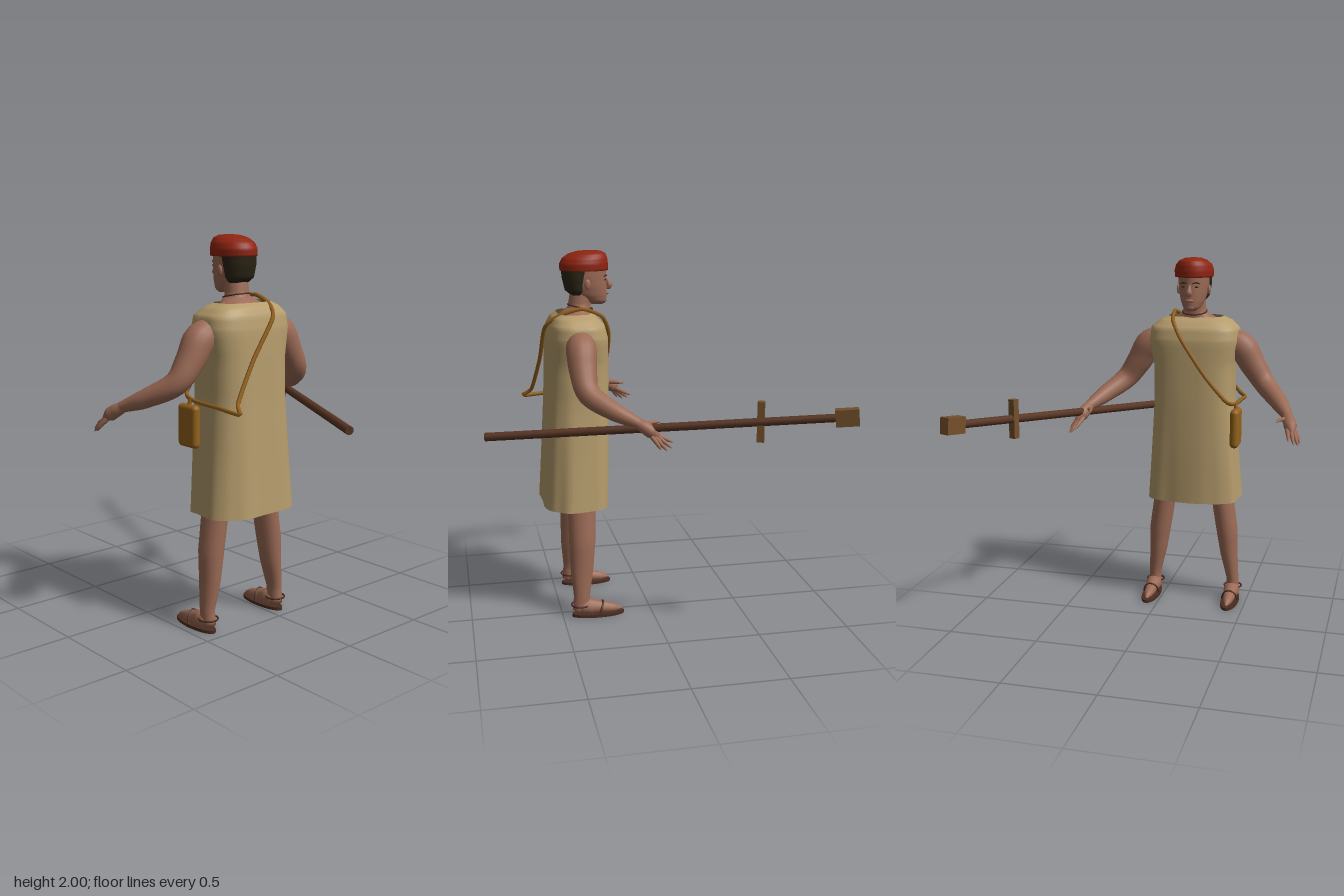
import * as THREE from 'three';
import { mergeVertices } from 'three/addons/utils/BufferGeometryUtils.js';
import { RoundedBoxGeometry } from 'three/addons/geometries/RoundedBoxGeometry.js';

const paint = (name, color, extra = {}) => {
  const m = new THREE.MeshStandardMaterial({ color, ...extra });
  m.name = name;
  return m;
};
const V = (p) => new THREE.Vector3(...p);

// Smoothly interpolated value from a list of numbers, t in 0..1
const sample = (list, t) => {
  const f = t * (list.length - 1), i = Math.min(Math.floor(f), list.length - 2);
  return THREE.MathUtils.lerp(list[i], list[i + 1], f - i);
};

// Tube of changing radius through points
function taperTube(points, radii, seg = 20, sides = 12) {
  const curve = new THREE.CatmullRomCurve3(points.map(V));
  const g = new THREE.TubeGeometry(curve, seg, 1, sides);
  const p = g.attributes.position, v = new THREE.Vector3();
  for (let i = 0; i <= seg; i++) {
    const c = curve.getPointAt(i / seg), r = sample(radii, i / seg);
    for (let j = 0; j <= sides; j++) {
      const k = i * (sides + 1) + j;
      v.fromBufferAttribute(p, k).sub(c).multiplyScalar(r).add(c);
      p.setXYZ(k, v.x, v.y, v.z);
    }
  }
  return smooth(g);
}

function smooth(g) {
  g.deleteAttribute('uv');
  g.deleteAttribute('normal');
  const m = mergeVertices(g, 1e-5);
  m.computeVertexNormals();
  return m;
}

// Stacked rings [y, x, z, rx, rz], from bottom to top; power > 2 gives boxier rings
function loft(rings, { power = 2, caps = true, sides = 28, steps = 4, warp = null } = {}) {
  const pos = [], idx = [];
  const cols = [0, 1, 2, 3, 4].map((k) => rings.map((r) => r[k]));
  const n = (rings.length - 1) * steps;
  const sgnPow = (a) => Math.sign(a) * Math.pow(Math.abs(a), 2 / power);
  for (let i = 0; i <= n; i++) {
    const [y, x, z, rx, rz] = cols.map((c) => sample(c, i / n));
    for (let j = 0; j < sides; j++) {
      const a = (j / sides) * Math.PI * 2;
      const k = warp ? warp(a, y) : 1;
      pos.push(x + rx * k * sgnPow(Math.cos(a)), y, z + rz * k * sgnPow(Math.sin(a)));
      if (i < n) {
        const b = i * sides + j, c = i * sides + ((j + 1) % sides);
        idx.push(b, b + sides, c, c, b + sides, c + sides);
      }
    }
  }
  if (caps) {
    for (let j = 1; j < sides - 1; j++) {
      idx.push(0, j, j + 1, n * sides, n * sides + j + 1, n * sides + j);
    }
  }
  const g = new THREE.BufferGeometry();
  g.setAttribute('position', new THREE.Float32BufferAttribute(pos, 3));
  g.setIndex(idx);
  g.computeVertexNormals();
  return g;
}

export function createModel() {
  const skin = paint('skin', 0x9b6a55);
  const cloth = paint('tunic cloth', 0xb59c6c, { side: THREE.DoubleSide });
  const red = paint('cap red', 0x8f2410);
  const hairMat = paint('dark hair', 0x2b2414);
  const leather = paint('tan leather', 0x93611c);
  const darkWood = paint('dark wood', 0x583524);
  const lightWood = paint('light wood', 0x74502c);
  const sandalMat = paint('sandal leather', 0x4a2c20);

  const model = new THREE.Group();
  const figure = new THREE.Group();
  figure.name = 'figure';
  figure.position.x = -0.175;
  model.add(figure);
  const add = (name, geo, mat, parent = figure) => {
    const m = new THREE.Mesh(geo, mat);
    m.name = name;
    parent.add(m);
    return m;
  };
  const ball = (name, mat, pos, scale) => {
    const m = add(name, new THREE.SphereGeometry(1, 14, 10), mat);
    m.position.set(...pos);
    m.scale.set(...scale);
    return m;
  };

  // Tunic with soft folds, open at the hem and neck
  add('tunic', loft([
    [0.615, 0, 0.398, 0.272, 0.186], [0.9, 0, 0.386, 0.25, 0.182], [1.2, 0, 0.376, 0.23, 0.176],
    [1.4, 0, 0.374, 0.232, 0.172], [1.54, 0, 0.372, 0.258, 0.168], [1.61, 0, 0.374, 0.25, 0.152],
    [1.65, 0, 0.382, 0.205, 0.122], [1.672, 0, 0.385, 0.155, 0.09],
  ], {
    power: 3, caps: false, sides: 64,
    warp: (a, y) => 1 + (0.025 * Math.sin(7 * a + 0.6) + 0.012 * Math.sin(11 * a)) * THREE.MathUtils.clamp(1.5 - y, 0.12, 0.9) - 0.01,
  }), cloth);

  // Shoulders, neck and head
  add('shoulders', loft([
    [1.56, 0, 0.375, 0.2, 0.11], [1.64, 0, 0.375, 0.165, 0.1], [1.67, 0, 0.37, 0.11, 0.08],
    [1.7, 0, 0.35, 0.065, 0.062], [1.8, 0, 0.335, 0.058, 0.06],
  ]), skin);
  add('head', loft([
    [1.712, 0, 0.25, 0.022, 0.03], [1.73, 0, 0.268, 0.048, 0.066], [1.765, 0, 0.296, 0.066, 0.098],
    [1.81, 0, 0.312, 0.078, 0.114], [1.86, 0, 0.318, 0.084, 0.118], [1.91, 0, 0.322, 0.086, 0.122],
    [1.95, 0, 0.325, 0.075, 0.105],
  ]), skin);
  add('hair', loft([
    [1.765, 0, 0.362, 0.06, 0.034], [1.79, 0, 0.368, 0.08, 0.058], [1.85, 0, 0.367, 0.09, 0.073],
    [1.91, 0, 0.357, 0.093, 0.09],
  ]), hairMat);
  add('cap', loft([
    [1.895, 0, 0.322, 0.106, 0.131], [1.93, 0, 0.322, 0.108, 0.132], [1.96, 0, 0.316, 0.099, 0.122],
    [1.983, 0, 0.303, 0.078, 0.1], [1.996, 0, 0.293, 0.048, 0.065], [2.0, 0, 0.29, 0.012, 0.016],
  ]), red);
  add('nose', taperTube([[0, 1.855, 0.203], [0, 1.825, 0.188], [0, 1.805, 0.184], [0, 1.797, 0.2]], [0.006, 0.011, 0.018, 0.008], 10, 10), skin);
  ball('lips', skin, [0, 1.77, 0.199], [0.024, 0.009, 0.011]);
  ball('chin', skin, [0, 1.733, 0.218], [0.026, 0.018, 0.018]);
  const necklace = add('neckCord', new THREE.TorusGeometry(0.068, 0.004, 6, 32), sandalMat);
  necklace.position.set(0, 1.7, 0.345);
  necklace.rotation.x = Math.PI / 2 - 0.2;

  // Flat sole outline
  const soleShape = new THREE.Shape();
  soleShape.absellipse(0, 0, 0.05, 0.146, 0, Math.PI * 2);

  for (const s of [-1, 1]) {
    const side = s < 0 ? 'Right' : 'Left';
    const tube = (name, pts, radii, mat = skin, seg = 20, sides = 12) =>
      add(name + side, taperTube(pts.map(([x, y, z]) => [x * s, y, z]), radii, seg, sides), mat);

    // Face details
    ball('ear' + side, skin, [0.086 * s, 1.825, 0.315], [0.01, 0.028, 0.017]);
    ball('eye' + side, hairMat, [0.034 * s, 1.845, 0.212], [0.013, 0.005, 0.006]);
    tube('brow', [[0.014, 1.862, 0.201], [0.034, 1.868, 0.207], [0.054, 1.861, 0.222]], [0.002, 0.005, 0.002], hairMat, 8, 6);

    // Arm and hand
    tube('arm', [[0.17, 1.535, 0.375], [0.26, 1.51, 0.378], [0.33, 1.405, 0.38], [0.4, 1.305, 0.365], [0.49, 1.23, 0.26], [0.565, 1.17, 0.13]],
      [0.07, 0.082, 0.073, 0.062, 0.054, 0.045, 0.027], skin, 28, 16);
    tube('palm', [[0.555, 1.178, 0.15], [0.575, 1.15, 0.1], [0.592, 1.118, 0.055], [0.6, 1.1, 0.035]], [0.026, 0.034, 0.036, 0.012]);
    const fingers = [
      [[0.57, 1.12, 0.055], [0.583, 1.09, 0], [0.59, 1.07, -0.04]],
      [[0.588, 1.115, 0.055], [0.607, 1.075, 0.005], [0.617, 1.048, -0.025]],
      [[0.602, 1.11, 0.06], [0.624, 1.068, 0.025], [0.636, 1.04, 0.002]],
      [[0.608, 1.11, 0.075], [0.63, 1.075, 0.05], [0.641, 1.048, 0.035]],
      [[0.56, 1.16, 0.11], [0.53, 1.165, 0.06], [0.516, 1.162, 0.012]],
    ];
    fingers.forEach((f, i) => tube(i < 4 ? 'finger' + (i + 1) : 'thumb', f, [0.012, 0.012, 0.01, 0.009, 0.002], skin, 10, 8));

    // Leg and foot
    add('leg' + side, loft([
      [0.04, 0.237 * s, 0.4, 0.036, 0.046], [0.12, 0.236 * s, 0.394, 0.035, 0.045], [0.27, 0.214 * s, 0.388, 0.05, 0.064],
      [0.42, 0.2 * s, 0.382, 0.062, 0.073], [0.62, 0.17 * s, 0.378, 0.064, 0.077], [0.9, 0.12 * s, 0.375, 0.085, 0.09],
    ], { sides: 20 }), skin);
    const foot = tube('foot', [[0.237, 0.05, 0.445], [0.237, 0.055, 0.4], [0.237, 0.05, 0.33], [0.237, 0.036, 0.24], [0.237, 0.026, 0.168]],
      [0.008, 0.042, 0.046, 0.036, 0.032, 0.024, 0.004], skin, 24, 14);
    foot.name = 'foot' + side;
    const sole = add('sole' + side, new THREE.ExtrudeGeometry(soleShape, { depth: 0.016, bevelEnabled: false, curveSegments: 24 }), sandalMat);
    sole.rotation.x = -Math.PI / 2;
    sole.position.set(0.237 * s, 0, 0.304);
    const ring = add('ankleStrap' + side, new THREE.TorusGeometry(0.05, 0.005, 6, 28), sandalMat);
    ring.rotation.x = Math.PI / 2;
    ring.position.set(0.237 * s, 0.068, 0.402);
    tube('toeStrap', [[0.19, 0.016, 0.3], [0.205, 0.058, 0.285], [0.237, 0.078, 0.275], [0.269, 0.058, 0.285], [0.284, 0.016, 0.3]], [0.006, 0.006], sandalMat, 14, 6);
  }

  // Shoulder strap looping round the body, and the pouch under it
  const strap = new THREE.CatmullRomCurve3([
    [0.115, 1.7, 0.35], [0.1, 1.655, 0.24], [0.04, 1.55, 0.196], [-0.09, 1.36, 0.193], [-0.21, 1.22, 0.205], [-0.245, 1.19, 0.3],
    [-0.25, 1.18, 0.5], [-0.248, 1.17, 0.65], [-0.215, 1.215, 0.6], [-0.08, 1.41, 0.562], [0.06, 1.6, 0.545], [0.1, 1.665, 0.47],
  ].map(V), true, 'catmullrom', 0.35);
  add('strap', new THREE.TubeGeometry(strap, 110, 0.011, 6, true), leather);
  const pouch = add('pouch', new RoundedBoxGeometry(0.05, 0.22, 0.14, 4, 0.024), leather);
  pouch.position.set(-0.256, 1.06, 0.28);
  add('pouchLoop', taperTube([[-0.262, 1.14, 0.28], [-0.25, 1.2, 0.285]], [0.012, 0.01], 6, 6), leather);

  // Long staff carried in the left-hand side, with crossbar and block head
  const staff = new THREE.Group();
  staff.name = 'staff';
  const tail = new THREE.Vector3(0.08, 1.062, 0.89), tip = new THREE.Vector3(0.785, 1.25, -0.87);
  staff.position.copy(tail).add(tip).multiplyScalar(0.5);
  staff.lookAt(tip);
  model.add(staff);
  const len = tail.distanceTo(tip);
  const shaft = add('shaft', new THREE.CylinderGeometry(0.021, 0.023, len, 14), darkWood, staff);
  shaft.rotation.x = Math.PI / 2;
  const head = add('staffHead', new THREE.BoxGeometry(0.056, 0.084, 0.115), lightWood, staff);
  head.position.z = len / 2 - 0.045;
  const bar = add('crossbar', new THREE.BoxGeometry(0.038, 0.205, 0.036), lightWood, model);
  bar.position.set(0.61, 1.205, -0.44);
  bar.rotation.y = -0.38;
  return model;
}
